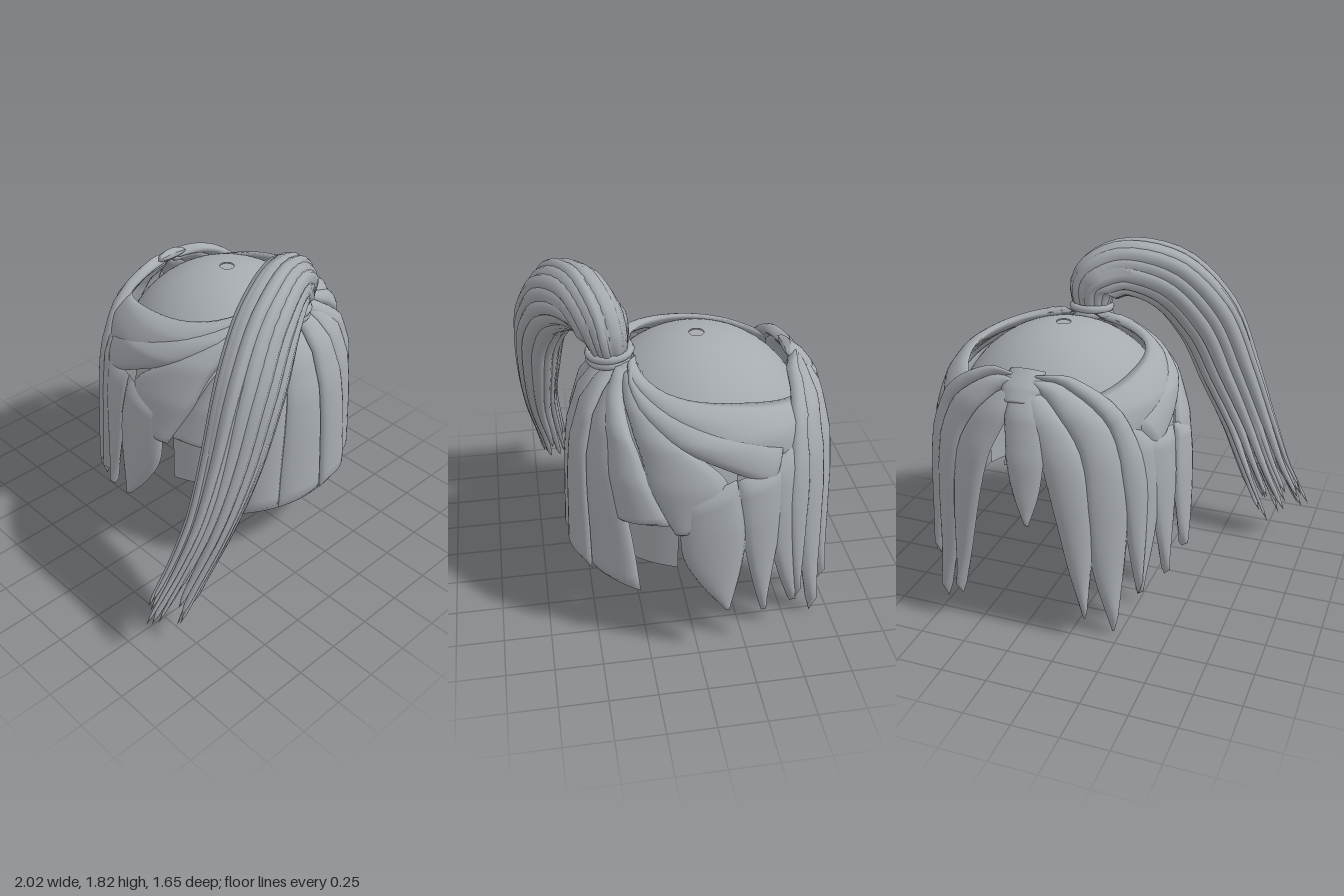
import * as THREE from 'three';

const CX = 0.28, CZ = -0.1, RAD = Math.PI / 180;
const hair = new THREE.MeshStandardMaterial({ color: 0xa6abb0, side: THREE.DoubleSide });
hair.name = 'hair grey';

// Radius of the hair surface at each height: [y, radius]
const PROFILE = [[0, 0.72], [0.3, 0.69], [0.8, 0.67], [1.0, 0.65], [1.2, 0.59], [1.3, 0.515], [1.38, 0.42], [1.42, 0.34], [1.5, 0.2]];
function radiusAt(y) {
  const i = Math.max(1, PROFILE.findIndex(p => p[0] >= y));
  const [y0, r0] = PROFILE[i - 1], [y1, r1] = PROFILE[i];
  return r0 + (r1 - r0) * (y - y0) / (y1 - y0);
}

// Closed-around surface made from rows of cross-sections
function loft(name, rows, cols, point) {
  const pos = [], index = [];
  for (let j = 0; j <= rows; j++)
    for (let i = 0; i < cols; i++) pos.push(...point(i / cols, j / rows, j));
  for (let j = 0; j < rows; j++)
    for (let i = 0; i < cols; i++) {
      const a = j * cols + i, b = j * cols + (i + 1) % cols;
      index.push(a, a + cols, b, b, a + cols, b + cols);
    }
  const g = new THREE.BufferGeometry();
  g.setAttribute('position', new THREE.Float32BufferAttribute(pos, 3));
  g.setIndex(index);
  g.computeVertexNormals();
  const mesh = new THREE.Mesh(g, hair);
  mesh.name = name;
  return mesh;
}

// Flat lock hugging the head between two edges of [azimuth degrees, y]
const edgeCurve = pts => new THREE.CatmullRomCurve3(pts.map(([a, y]) => new THREE.Vector3(a / 60, y, 0)));
function lock(name, left, right, lift = 0, thick = 0.04) {
  const L = edgeCurve(left), R = edgeCurve(right), rows = 22, cols = 20;
  return loft(name, rows, cols, (u, v, j) => {
    const outer = u < 0.5, s = outer ? 2 * u : 2 - 2 * u;
    const p = L.getPoint(v).lerp(R.getPoint(v), s);
    const a = p.x * 60 * RAD, r = radiusAt(p.y);
    const up = p.y - Math.min(p.y, 0.85), n = Math.hypot(r, up);
    const end = j === 0 || j === rows ? 0 : 1;
    const bulge = Math.sqrt(Math.max(0, Math.sin(Math.PI * s))) * end * (outer ? thick : -0.02);
    const d = lift + bulge, rr = r + d * r / n;
    return [CX + rr * Math.sin(a), p.y + d * up / n, CZ + rr * Math.cos(a)];
  });
}
const flip = pts => pts.map(([a, y]) => [-a, y]);
function pair(group, name, left, right, lift, thick) {
  group.add(lock(name + 'Right', left, right, lift, thick));
  group.add(lock(name + 'Left', flip(right), flip(left), lift, thick));
}

function buildCap() {
  const cap = new THREE.Group();
  cap.name = 'skullCap';
  const add = (name, g, y) => {
    const m = new THREE.Mesh(g, hair);
    m.name = name;
    m.position.set(CX - 0.01, y, CZ);
    cap.add(m);
  };
  add('capCrown', new THREE.SphereGeometry(0.6, 48, 16, 0, Math.PI * 2, 0.065, 60 * RAD - 0.065), 0.9);
  add('capBack', new THREE.SphereGeometry(0.6, 32, 8, -10 * RAD, 200 * RAD, 60 * RAD, 30 * RAD), 0.9);
  add('capSkirt', new THREE.CylinderGeometry(0.6, 0.6, 0.44, 32, 1, true, -72 * RAD, 144 * RAD), 0.68);
  // Small recessed button on the crown
  add('crownButton', new THREE.CylinderGeometry(0.039, 0.039, 0.008, 24), 1.49);
  return cap;
}

function buildHead() {
  const g = new THREE.Group();
  g.name = 'headHair';
  // Blunt panels fanning down from the ponytail base
  const edges = [-54, -37, -21, 5, 28, 55];
  for (let i = 0; i < 5; i++) {
    const run = (e, low) => [[e * 0.4, 1.42], [e * 0.65, 1.28], [e * 0.82, 0.95], [e * 0.94, 0.6], [e, low]];
    const low = 0.32 + 0.01 * Math.abs(i - 2);
    g.add(lock('backPanel' + (i + 1), run(edges[i], low), run(edges[i + 1] + 1.5, low), i % 2 * 0.01, 0.035));
  }
  // Shorter panels swept forward along the sides
  pair(g, 'sidePanel', [[8, 1.41], [33, 1.18], [40, 0.95], [45, 0.74]], [[24, 1.41], [50, 1.18], [60, 1.0], [71, 0.79]], 0.005);
  pair(g, 'sweptPanel', [[18, 1.41], [50, 1.2], [62, 0.94], [72, 0.74]], [[34, 1.41], [72, 1.22], [94, 1.0], [77, 0.74]], 0.01, 0.035);
  pair(g, 'lowerBand', [[22, 1.41], [70, 1.2], [98, 1.06], [114, 0.95]], [[22, 1.42], [72, 1.31], [104, 1.22], [124, 1.14]], 0.015, 0.035);
  pair(g, 'upperBand', [[16, 1.41], [68, 1.28], [100, 1.15], [134, 1.02]], [[10, 1.43], [70, 1.37], [108, 1.34], [144, 1.28]], 0.01, 0.035);
  // Pointed locks beside the face
  pair(g, 'earLock', [[74, 0.95], [75, 0.62], [84, 0.42], [93, 0.28]], [[97, 1.04], [101, 0.75], [98, 0.45], [94, 0.28]], 0.02, 0.035);
  pair(g, 'cheekLock', [[97, 1.03], [100, 0.7], [104, 0.45], [109, 0.21]], [[122, 1.08], [118, 0.7], [114, 0.45], [110, 0.21]], 0.015, 0.035);
  pair(g, 'templeLock', [[113, 1.05], [113, 0.65], [118, 0.4], [125, 0.17]], [[130, 1.2], [130, 0.65], [128, 0.4], [126, 0.17]], 0.01);
  // Parted fringe
  pair(g, 'outerFringe',
    [[178, 1.35], [150, 1.345], [130, 1.21], [121, 0.9], [122, 0.55], [126, 0.19]],
    [[178, 1.34], [155, 1.31], [138, 1.15], [134, 0.85], [131, 0.5], [127, 0.19]], 0.03, 0.04);
  pair(g, 'middleFringe',
    [[178, 1.34], [155, 1.32], [136, 1.15], [130, 0.8], [132, 0.4], [138, 0]],
    [[179, 1.33], [165, 1.26], [152, 1.05], [150, 0.75], [147, 0.4], [139, 0]], 0.02, 0.045);
  pair(g, 'innerFringe',
    [[179, 1.33], [164, 1.27], [150, 1.05], [146, 0.7], [147, 0.4], [150, 0.1]],
    [[181, 1.31], [176, 1.2], [168, 1.0], [162, 0.7], [157, 0.4], [151, 0.1]], 0.015, 0.045);
  g.add(lock('forelock', [[173, 1.31], [176, 1.1], [180, 0.85], [186, 0.65]], [[191, 1.3], [194, 1.1], [192, 0.85], [187, 0.65]], 0.035, 0.03));
  g.add(lock('partingKnot', [[168, 1.37], [167, 1.32], [172, 1.24]], [[192, 1.37], [193, 1.32], [188, 1.24]], 0.035, 0.035));
  return g;
}

// Ponytail: tapered strands gathered around one curved path
function buildPonytail() {
  const g = new THREE.Group();
  g.name = 'ponytail';
  const path = new THREE.CatmullRomCurve3([
    [0.28, 1.42, 0.34], [0.27, 1.56, 0.37], [0.13, 1.645, 0.45], [-0.11, 1.57, 0.57], [-0.31, 1.33, 0.66],
    [-0.45, 1.0, 0.69], [-0.58, 0.7, 0.69], [-0.71, 0.41, 0.65], [-0.86, 0.13, 0.61]
  ].map(p => new THREE.Vector3(...p)));
  const spread = [0.075, 0.105, 0.12, 0.15, 0.16, 0.155, 0.14, 0.14, 0.16];
  const spreadAt = t => {
    const f = Math.min(t * 8, 7.999), i = Math.floor(f);
    return spread[i] + (spread[i + 1] - spread[i]) * (f - i);
  };
  const Z = new THREE.Vector3(0, 0, 1);
  const frame = t => {
    const T = path.getTangent(t), U = T.clone().cross(Z).normalize();
    return [path.getPoint(t), U, U.clone().cross(T).normalize()];
  };
  const strand = (name, phi, rho, size, length, twist) => loft(name, 36, 8, (u, v, j) => {
    const t = v * length, [p, U, V] = frame(t), a = phi + twist * v, k = rho * spreadAt(t);
    const taper = v < 0.5 ? 1 : 1 - 0.8 * (v - 0.5) / 0.5;
    const w = j === 36 ? 0 : size * (0.55 + 0.45 * Math.min(1, v * 6)) * taper;
    const q = u * Math.PI * 2;
    p.addScaledVector(U, k * Math.cos(a) + w * Math.cos(q));
    p.addScaledVector(V, k * Math.sin(a) * (0.85 - 0.4 * v) + w * Math.sin(q));
    return p.toArray();
  });
  g.add(strand('tailCore', 0, 0, 0.14, 0.85, 0));
  let seed = 7;
  const rand = () => (seed = (seed * 16807) % 2147483647) / 2147483647;
  for (let i = 0; i < 14; i++)
    g.add(strand('outerStrand' + (i + 1), i / 14 * Math.PI * 2, 0.85 + 0.15 * rand(), 0.055, 0.88 + 0.12 * rand(), 0.5));
  for (let i = 0; i < 14; i++)
    g.add(strand('fineStrand' + (i + 1), (i + 0.5) / 14 * Math.PI * 2, 0.75 + 0.4 * rand(), 0.035, 0.9 + 0.1 * rand(), rand() - 0.2));
  // Hair tie
  [[1.405, 0.1], [1.44, 0.105]].forEach(([y, r], i) => {
    const ring = new THREE.Mesh(new THREE.TorusGeometry(r, 0.022, 8, 32), hair);
    ring.name = 'hairTie' + (i + 1);
    ring.rotation.x = Math.PI / 2 + 0.08;
    ring.position.set(0.28, y, 0.345);
    g.add(ring);
  });
  return g;
}

export function createModel() {
  const model = new THREE.Group();
  model.name = 'ponytailWig';
  model.add(buildCap(), buildHead(), buildPonytail());
  return model;
}
